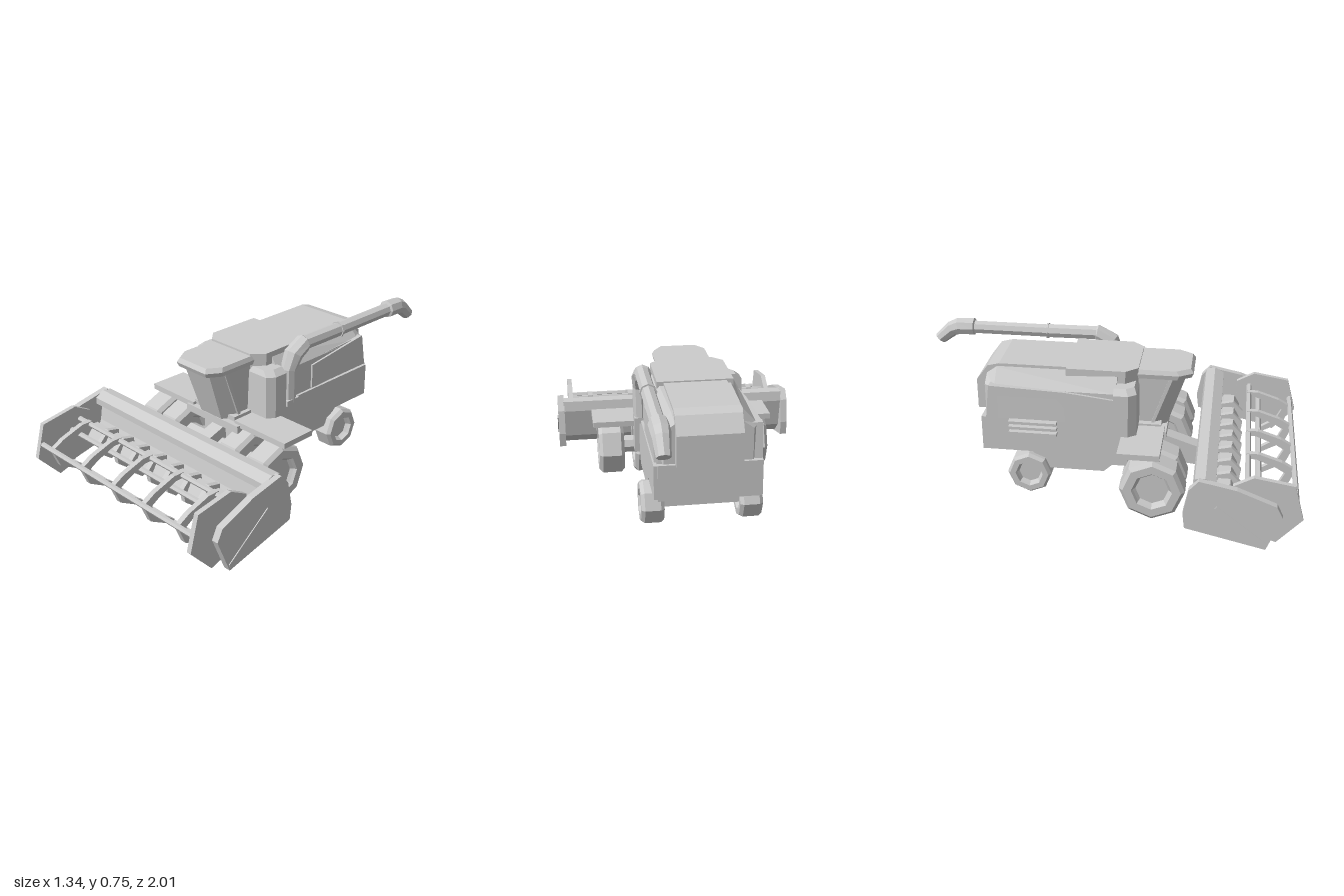
import * as THREE from 'three';

export function createModel() {
  const root = new THREE.Group();
  root.name = 'combineHarvester';
  const mat = new THREE.MeshStandardMaterial({ color: 0xcccccc, flatShading: true });
  const thin = new THREE.MeshStandardMaterial({ color: 0xcccccc, flatShading: true, side: THREE.DoubleSide });
  const C = -0.02; // centre line of the vehicle body

  const add = (name, geo, m = mat) => {
    const mesh = new THREE.Mesh(geo, m);
    mesh.name = name;
    root.add(mesh);
    return mesh;
  };
  // box from its limits
  const box = (name, x0, x1, y0, y1, z0, z1) => {
    const b = add(name, new THREE.BoxGeometry(x1 - x0, y1 - y0, z1 - z0));
    b.position.set((x0 + x1) / 2, (y0 + y1) / 2, (z0 + z1) / 2);
    return b;
  };
  const toShape = (pts) => new THREE.Shape(pts.map(([a, b]) => new THREE.Vector2(a, b)));
  // side profile of [z, y] points, extruded from x0 to x1
  const profile = (name, pts, x0, x1, hole) => {
    const shape = toShape(pts);
    if (hole) shape.holes.push(toShape(hole));
    const g = new THREE.ExtrudeGeometry(shape, { depth: x1 - x0, bevelEnabled: false });
    return add(name, g.rotateY(-Math.PI / 2).translate(x1, 0, 0));
  };
  // loft through rings of [x, y, z] corners, closed at both ends
  const loft = (name, rings) => {
    const n = rings[0].length, idx = [];
    for (let r = 0; r < rings.length - 1; r++) {
      for (let i = 0; i < n; i++) {
        const a = r * n + i, b = r * n + (i + 1) % n;
        idx.push(a, b, a + n, b, b + n, a + n);
      }
    }
    const last = (rings.length - 1) * n;
    for (let i = 1; i < n - 1; i++) idx.push(0, i, i + 1, last, last + i + 1, last + i);
    const g = new THREE.BufferGeometry();
    g.setAttribute('position', new THREE.Float32BufferAttribute(rings.flat(2), 3));
    g.setIndex(idx);
    g.computeVertexNormals();
    return add(name, g, thin);
  };
  // bar along x
  const bar = (name, y, z, r, sides, half, x = 0) => {
    const g = new THREE.CylinderGeometry(r, r, half * 2, sides).rotateZ(Math.PI / 2);
    add(name, g).position.set(x, y, z);
  };

  // --- main body ---
  const side = [[0.06, 0.21], [0, 0.155], [-0.28, 0.155], [-0.37, 0.245], [-0.63, 0.245], [-0.63, 0.43],
    [-0.605, 0.43], [-0.585, 0.605], [-0.2, 0.59], [0.06, 0.56]];
  profile('bodyCore', side, C - 0.2, C + 0.245);
  profile('serviceSide', side, C - 0.262, C - 0.2,
    [[-0.54, 0.3], [-0.54, 0.55], [-0.24, 0.55], [-0.2, 0.5], [-0.2, 0.3]]);
  profile('lowerSidePanel', [[0.05, 0.22], [0, 0.165], [-0.28, 0.17], [-0.37, 0.25], [-0.62, 0.25],
    [-0.62, 0.425], [0.05, 0.425]], C + 0.24, C + 0.262);
  profile('upperSidePanel', [[-0.18, 0.43], [-0.61, 0.44], [-0.58, 0.61], [-0.18, 0.56]], C + 0.24, C + 0.258);

  // radiator fans and engine parts inside the service opening
  for (const z of [-0.31, -0.44]) {
    const ring = add('fanRing', new THREE.TorusGeometry(0.05, 0.01, 4, 10).rotateY(Math.PI / 2));
    ring.position.set(C - 0.21, 0.475, z);
    bar('fanHub', 0.475, z, 0.022, 8, 0.018, C - 0.21);
    for (let i = 0; i < 5; i++) {
      const blade = box('fanBlade', C - 0.212, C - 0.204, 0.467, 0.483, z - 0.048, z + 0.048);
      blade.rotation.x = i * Math.PI / 5;
    }
  }
  for (let i = 0; i < 3; i++) box('engineRib', C - 0.235, C - 0.2, 0.32 + i * 0.03, 0.335 + i * 0.03, -0.5, -0.25);

  // hood: sloping shoulders and raised spine
  const hoodRing = (z, w, s, top) => [[C - w, 0.42, z], [C + w, 0.42, z], [C + w, 0.59, z],
    [C + s, top, z], [C - s, top, z], [C - w, 0.59, z]];
  loft('hoodShoulders', [hoodRing(0.06, 0.25, 0.19, 0.67), hoodRing(-0.56, 0.245, 0.17, 0.67),
    hoodRing(-0.615, 0.215, 0.16, 0.63)]);
  profile('hoodSpine', [[-0.15, 0.685], [-0.55, 0.685], [-0.61, 0.67], [-0.67, 0.59], [-0.67, 0.43], [-0.15, 0.43]],
    C - 0.16, C + 0.16);

  // grain tank cover with cut front corners
  const plan = [[-0.195, -0.2], [0.195, -0.2], [0.195, 0.1], [0.14, 0.16], [-0.14, 0.16], [-0.195, 0.1]];
  const slab = (name, y0, y1, pts) => loft(name, [y0, y1].map((y) => pts.map(([x, z]) => [C + x, y, z])));
  slab('tankCover', 0.58, 0.692, plan);

  // shoulder bins beside the cab
  for (const s of [-1, 1]) {
    const ring = (y, w, f) => [[0.1, 0], [w, 0], [w, f - 0.04], [w - 0.03, f], [0.1, f]]
      .map(([x, z]) => [C + s * x, y, 0.05 + z]);
    loft('shoulderBin', [ring(0.21, 0.288, 0.115), ring(0.6, 0.288, 0.115), ring(0.627, 0.255, 0.1)]);
  }

  // --- cab ---
  const cabRing = (y, w, front, back) => [[-w, back], [w, back], [w, front - 0.07], [w - 0.045, front],
    [-w + 0.045, front], [-w, front - 0.07]].map(([x, z]) => [C + 0.005 + x, y, z]);
  loft('cabGlass', [cabRing(0.355, 0.12, 0.305, 0.12), cabRing(0.645, 0.135, 0.4, 0.12)]);
  loft('cabRoof', [cabRing(0.636, 0.145, 0.425, 0.14), cabRing(0.66, 0.15, 0.435, 0.14), cabRing(0.682, 0.14, 0.42, 0.14)]);
  for (const s of [-1, 1]) {
    profile('cabPillar', [[0.22, 0.36], [0.235, 0.36], [0.335, 0.64], [0.315, 0.64]],
      C + 0.005 + s * 0.128 - 0.008, C + 0.005 + s * 0.128 + 0.008);
    box('cabSill', C + s * 0.12 - 0.03, C + s * 0.12 + 0.03, 0.35, 0.385, 0.13, 0.28);
  }

  // platforms over the drive wheels
  box('cabFloor', -0.2, 0.18, 0.32, 0.36, 0.05, 0.31);
  box('platformRight', -0.48, -0.16, 0.345, 0.375, 0.09, 0.3);
  box('platformLeft', 0.14, 0.485, 0.345, 0.375, 0.09, 0.29);

  // --- chassis and wheels ---
  box('chassis', -0.14, 0.1, 0.13, 0.34, -0.02, 0.24);
  bar('frontAxle', 0.17, 0.265, 0.05, 8, 0.4, -0.015);
  box('rearAxle', -0.22, 0.19, 0.11, 0.17, -0.42, -0.35);
  box('rearAxleMount', -0.08, 0.05, 0.14, 0.27, -0.43, -0.33);
  const wheel = (name, x, y, z, r, w) => {
    const h = w / 2;
    const pts = [[0, -h + 0.03], [r * 0.5, -h + 0.03], [r * 0.57, -h + 0.015], [r * 0.62, -h], [r * 0.88, -h],
      [r, -h + 0.018], [r, h - 0.018], [r * 0.88, h], [r * 0.62, h], [r * 0.57, h - 0.015], [r * 0.5, h - 0.03], [0, h - 0.03]];
    const g = new THREE.LatheGeometry(pts.map(([a, b]) => new THREE.Vector2(a, b)), 8).rotateZ(Math.PI / 2);
    add(name, g).position.set(x, y, z);
  };
  for (const x of [-0.41, -0.262, 0.19, 0.386]) wheel('frontWheel', x, 0.17, 0.265, 0.165, 0.137);
  for (const x of [-0.262, 0.232]) wheel('rearWheel', x, 0.13, -0.385, 0.115, 0.115);

  // --- unloading auger: eight-sided rings along a bent path [z, y, radius, tilt] ---
  const path = [[0.0, 0.42, 0.04, 0], [0.0, 0.6, 0.042, 0.1], [-0.035, 0.67, 0.05, 0.6], [-0.105, 0.707, 0.047, 1.4],
    [-0.11, 0.707, 0.038, 1.57], [-0.37, 0.705, 0.038, 1.57], [-0.37, 0.705, 0.044, 1.57], [-0.38, 0.705, 0.044, 1.57],
    [-0.38, 0.705, 0.036, 1.57], [-0.78, 0.705, 0.036, 1.57], [-0.785, 0.707, 0.048, 1.57], [-0.87, 0.705, 0.047, 1.8],
    [-0.91, 0.69, 0.042, 2.1], [-0.98, 0.63, 0.034, 2.4]];
  loft('unloadingAuger', path.map(([z, y, r, t]) => Array.from({ length: 8 }, (_, i) => {
    const a = i * Math.PI / 4, v = r * Math.sin(a);
    return [0.236 + r * Math.cos(a), y + v * Math.sin(t), z + v * Math.cos(t)];
  })));
  box('augerBase', 0.19, 0.275, 0.41, 0.44, -0.04, 0.045);

  // --- header ---
  profile('feederHouse', [[0.5, 0.1], [0.5, 0.2], [0.2, 0.3], [0.1, 0.3], [0.1, 0.14]], -0.06, 0.02);
  profile('headerBackWall', [[0.48, 0.355], [0.53, 0.362], [0.58, 0.335], [0.58, 0.3], [0.545, 0.285], [0.56, 0.2],
    [0.6, 0.1], [0.57, 0.08], [0.5, 0.14], [0.47, 0.3]], -0.635, 0.635);
  const outer = [[0.5, 0.362], [0.455, 0.31], [0.43, 0.18], [0.44, 0.1], [0.83, 0.01], [0.9, 0.19], [0.87, 0.25], [0.68, 0.325]];
  const inner = [[1.0, 0.15], [0.95, 0.33], [0.755, 0.362], [0.66, 0.31], [0.66, 0.2], [0.8, 0.04], [0.88, 0.015]];
  for (const s of [-1, 1]) {
    profile('headerDivider', outer, s * 0.648 - 0.018, s * 0.648 + 0.018);
    profile('reelEndPlate', inner, s * 0.588 - 0.013, s * 0.588 + 0.013);
    profile('dividerRib', [[0.83, 0.03], [0.835, 0.045], [0.59, 0.235], [0.58, 0.22]], s * 0.668 - 0.003, s * 0.668 + 0.003);
  }
  bar('feedAuger', 0.145, 0.62, 0.06, 6, 0.62);
  for (const x of [-0.46, -0.33, -0.2, -0.065, 0.065, 0.195, 0.325, 0.47]) {
    profile('augerFin', [[0.58, 0.215], [0.645, 0.23], [0.7, 0.175], [0.69, 0.1], [0.64, 0.06], [0.58, 0.08]], x - 0.014, x + 0.014);
  }

  // reel bars and curved arms
  for (const [y, z] of [[0.24, 0.785], [0.285, 0.73], [0.22, 0.965], [0.052, 0.795]]) bar('reelBar', y, z, 0.014, 6, 0.58);
  for (const x of [-0.495, -0.245, 0, 0.23, 0.47]) {
    profile('reelArm', [[0.72, 0.3], [0.78, 0.3], [0.9, 0.26], [0.97, 0.22], [0.93, 0.12], [0.79, 0.04],
      [0.79, 0.07], [0.89, 0.135], [0.92, 0.2], [0.87, 0.23], [0.77, 0.27], [0.72, 0.27]], x - 0.014, x + 0.014);
  }
  return root;
}
